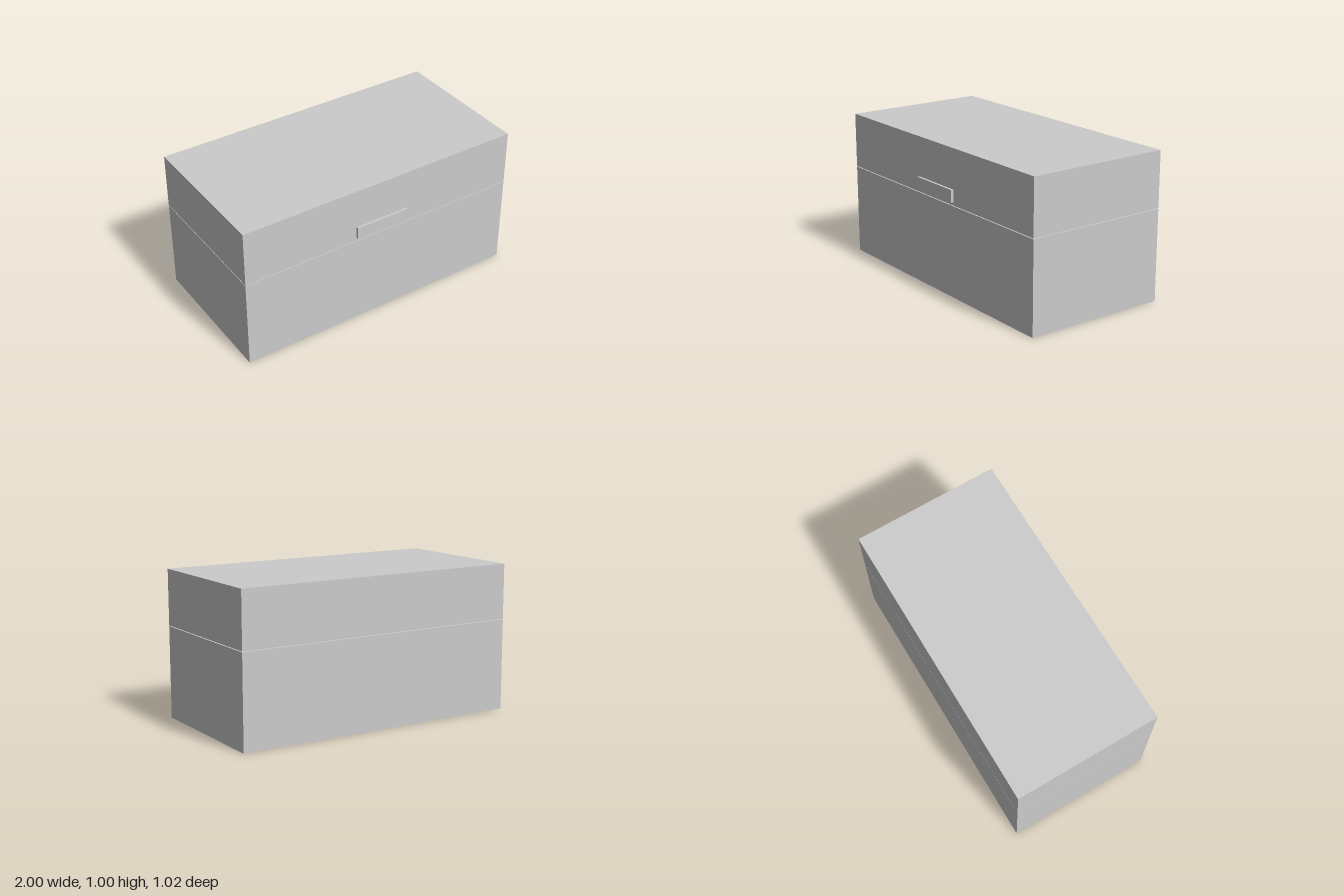
import * as THREE from 'three';

const material = new THREE.MeshStandardMaterial({ color: 0xcccccc, flatShading: true });

// Box given by its lower and upper corners
function block(name, [x0, y0, z0], [x1, y1, z1]) {
  const mesh = new THREE.Mesh(new THREE.BoxGeometry(x1 - x0, y1 - y0, z1 - z0), material);
  mesh.position.set((x0 + x1) / 2, (y0 + y1) / 2, (z0 + z1) / 2);
  mesh.name = name;
  return mesh;
}

export function createModel() {
  const group = new THREE.Group();
  group.name = 'chest';
  const back = -0.508, front = 0.491;

  // Deep body, with a hairline gap below the lid
  group.add(block('body', [-1, 0, back], [1, 0.62, front]));
  group.add(block('lid', [-1, 0.625, back], [1, 1, front]));

  // Thin latch plate on the front of the lid
  group.add(block('latch', [-0.195, 0.646, front], [0.188, 0.73, 0.508]));
  return group;
}
